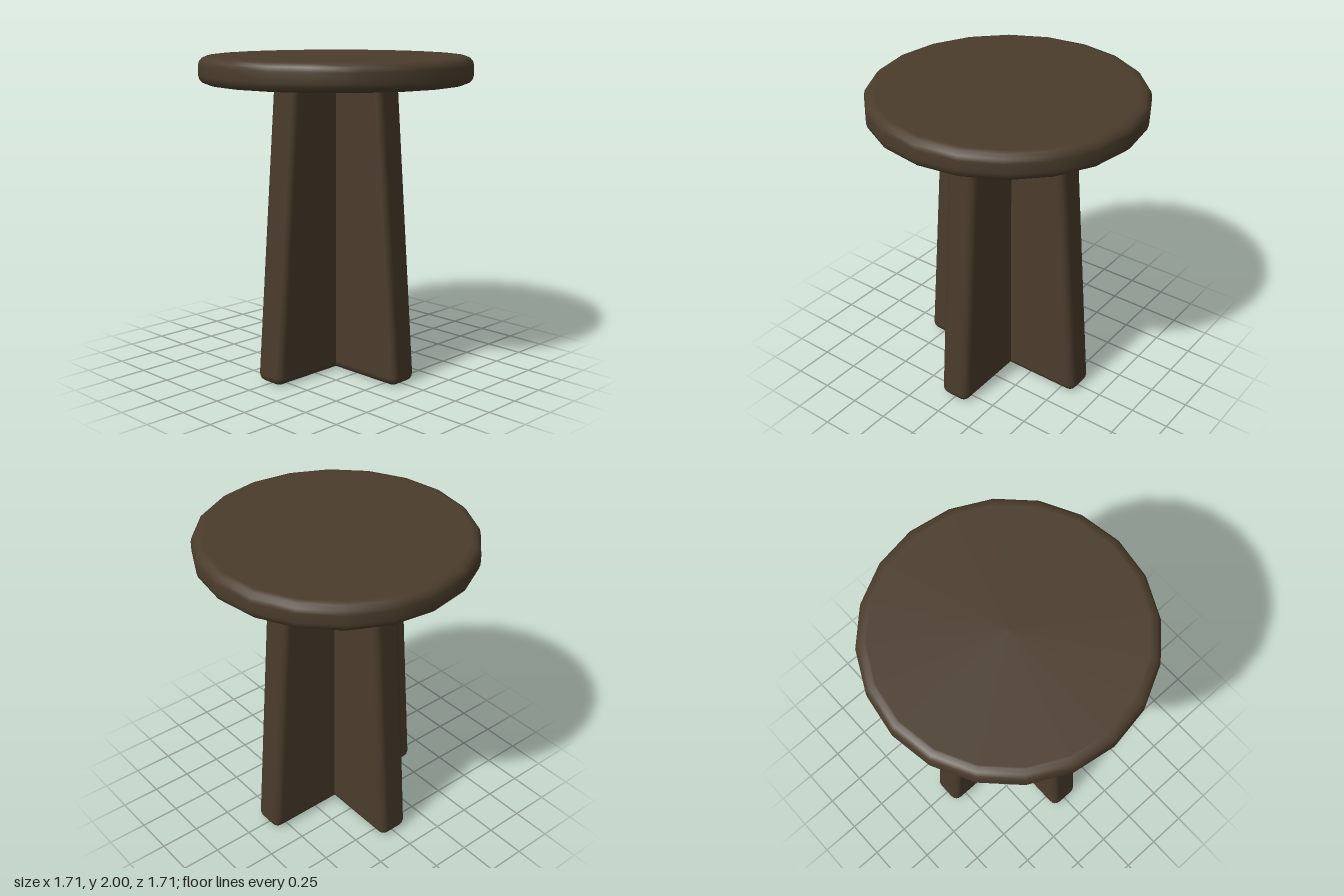
import * as THREE from 'three';
import { RoundedBoxGeometry } from 'three/addons/geometries/RoundedBoxGeometry.js';

const SEAT_RADIUS = 0.855, SEAT_BOTTOM = 1.83, SEAT_TOP = 2, SEAT_BEVEL = 0.055;
const BOARD_HEIGHT = 1.92, BOARD_THICKNESS = 0.205, BOARD_BEVEL = 0.05;

// Round 20-sided seat with a softened rim
function seatGeometry() {
  const inner = SEAT_RADIUS - SEAT_BEVEL;
  const profile = [[0, SEAT_BOTTOM], [inner - 0.01, SEAT_BOTTOM]];
  const arc = (centreY, from) => {
    for (let i = 0; i <= 3; i++) {
      const a = from + (i / 3) * Math.PI / 2;
      profile.push([inner + Math.cos(a) * SEAT_BEVEL, centreY + Math.sin(a) * SEAT_BEVEL]);
    }
  };
  arc(SEAT_BOTTOM + SEAT_BEVEL, -Math.PI / 2);
  arc(SEAT_TOP - SEAT_BEVEL, 0);
  profile.push([inner - 0.01, SEAT_TOP], [0, SEAT_TOP]);
  return new THREE.LatheGeometry(profile.map(([x, y]) => new THREE.Vector2(x, y)), 20);
}

// Upright board, rounded along its edges and narrowing towards the seat
function boardGeometry() {
  const geometry = new RoundedBoxGeometry(1.2, BOARD_HEIGHT, BOARD_THICKNESS, 2, BOARD_BEVEL);
  geometry.translate(0, BOARD_HEIGHT / 2, 0);
  const position = geometry.attributes.position;
  for (let i = 0; i < position.count; i++) {
    const taper = 1 - 0.25 * Math.max(0, position.getY(i) - 0.05) / (SEAT_BOTTOM - 0.05);
    position.setX(i, position.getX(i) * taper);
  }
  return geometry;
}

export function createModel() {
  const model = new THREE.Group();
  model.name = 'stool';
  const wood = new THREE.MeshStandardMaterial({ color: 0x4a3c2c });
  wood.name = 'dark wood';

  const seat = new THREE.Mesh(seatGeometry(), wood);
  seat.name = 'seat';
  model.add(seat);

  // Two boards crossing at right angles
  const board = boardGeometry();
  ['sideToSideBoard', 'frontToBackBoard'].forEach((name, i) => {
    const mesh = new THREE.Mesh(board, wood);
    mesh.name = name;
    mesh.rotation.y = i * Math.PI / 2;
    model.add(mesh);
  });
  return model;
}
